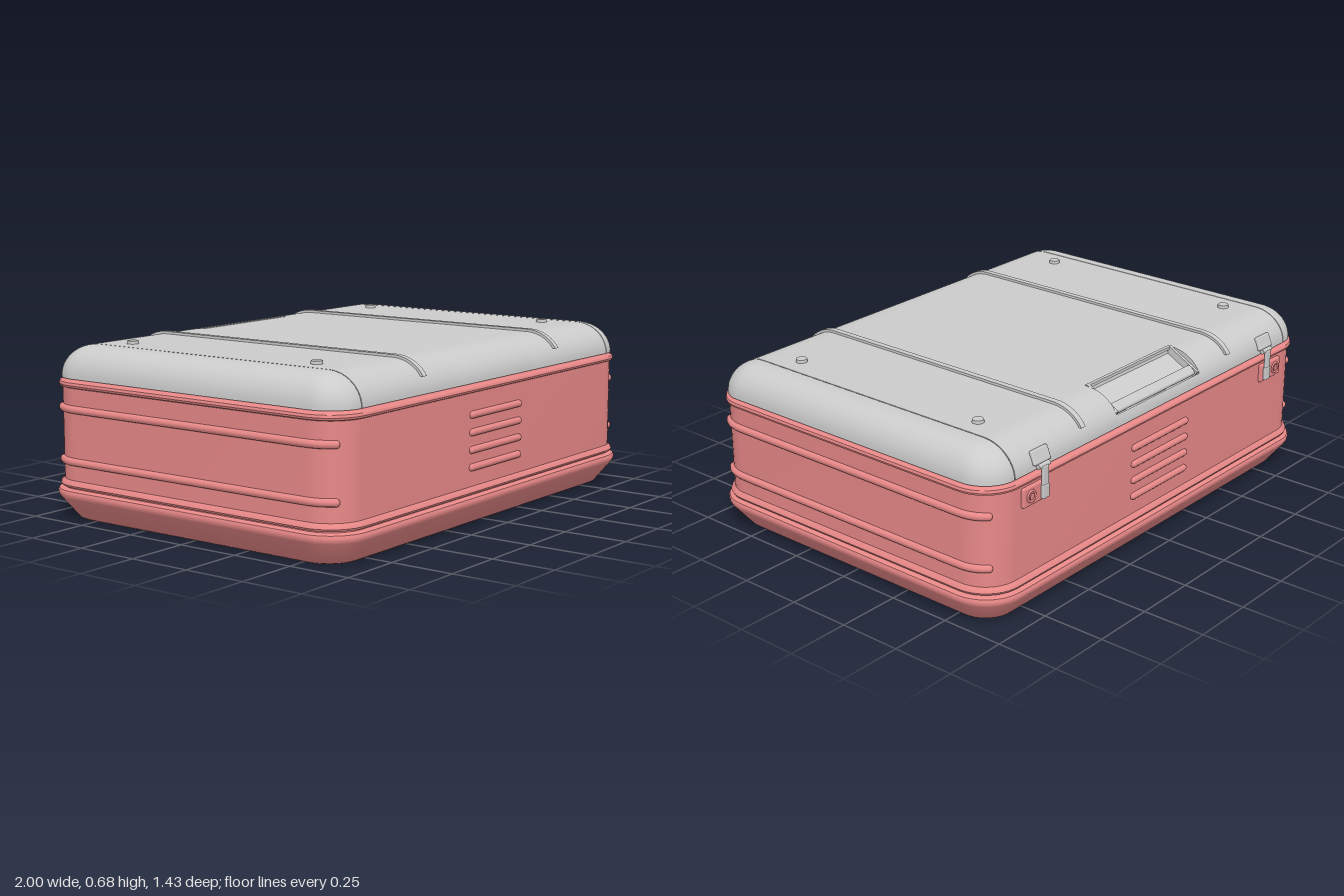
import * as THREE from 'three';
import { toCreasedNormals } from 'three/addons/utils/BufferGeometryUtils.js';
import { RoundedBoxGeometry } from 'three/addons/geometries/RoundedBoxGeometry.js';

const pink = new THREE.MeshStandardMaterial({ color: 0xe88888 });
const grey = new THREE.MeshStandardMaterial({ color: 0xcccccc });
const SEAM = 0.845; // x where the rounded lid ends begin

function add(parent, name, geometry, material, x = 0, y = 0, z = 0) {
  const mesh = new THREE.Mesh(geometry, material);
  mesh.name = name;
  mesh.position.set(x, y, z);
  parent.add(mesh);
  return mesh;
}

// Elliptic corner running from angle a0 to a0 + 90 degrees
function corner(cx, cz, r, a0, y) {
  return Array.from({ length: 11 }, (_, i) => {
    const a = a0 + (i / 10) * Math.PI / 2;
    return [cx + r * Math.cos(a), y, cz + r * Math.sin(a)];
  });
}

function roundedRing(y, hx, hz, r) {
  return [[1, 1], [-1, 1], [-1, -1], [1, -1]].flatMap(([sx, sz], i) =>
    corner(sx * (hx - r), sz * (hz - r), r, i * Math.PI / 2, y));
}

// Skin closed rings from bottom to top, with flat caps
function loft(rings, crease = 0.5) {
  const n = rings[0].length, last = (rings.length - 1) * n;
  const points = rings.flat(), index = [];
  const x = (rings[0][0][0] > 0 && rings[0].every(p => p[0] > 0)) ? SEAM : 0;
  points.push([x, rings[0][0][1], 0], [x, rings.at(-1)[0][1], 0]);
  for (let i = 0; i < n; i++) {
    const j = (i + 1) % n;
    for (let k = 0; k < last; k += n)
      index.push(k + i, k + n + i, k + j, k + j, k + n + i, k + n + j);
    index.push(last + n, i, j, last + n + 1, last + j, last + i);
  }
  const g = new THREE.BufferGeometry();
  g.setAttribute('position', new THREE.Float32BufferAttribute(points.flat(), 3));
  g.setIndex(index);
  return toCreasedNormals(g, crease);
}

// Lid curve: t = 0 at the lower edge, 90 degrees at the flat top
const lidZ = t => 0.69 - 0.14 * (1 - Math.cos(t));
const lidY = t => 0.545 + 0.12 * Math.sin(t);
const HALF = Math.PI / 2;

function lidCurve(t0, offset = 0) {
  return Array.from({ length: 13 }, (_, i) => {
    const t = t0 + (HALF - t0) * i / 12;
    return [lidZ(t) + offset * Math.cos(t), lidY(t) + offset * Math.sin(t)];
  });
}

const mirrored = pts => pts.map(([z, y]) => [-z, y]).reverse();
const lidProfile = (t0, offset) => [...lidCurve(t0, offset), ...mirrored(lidCurve(t0, offset))];

// Extrude a [z, y] outline along x between x0 and x1
function slab(outline, x0, x1) {
  const shape = new THREE.Shape(outline.map(p => new THREE.Vector2(...p)));
  const g = new THREE.ExtrudeGeometry(shape, { depth: x1 - x0, bevelEnabled: false });
  g.translate(0, 0, -(x1 - x0) / 2).rotateY(-HALF).translate((x0 + x1) / 2, 0, 0);
  return toCreasedNormals(g, 0.4);
}

function buildBody(group) {
  // [height, inset from the widest outline]
  const profile = [
    [0, 0.08], [0.006, 0.07], [0.09, 0.006], [0.1, 0.001], [0.112, 0], [0.12, 0.004],
    [0.124, 0.014], [0.126, 0.026], [0.13, 0.026], [0.132, 0.015], [0.14, 0.011],
    [0.148, 0.014], [0.158, 0.026], [0.51, 0.026], [0.514, 0.016], [0.522, 0.013],
    [0.532, 0.016], [0.536, 0.024], [0.546, 0.032],
  ];
  const rings = profile.map(([y, inset]) =>
    roundedRing(y, 1 - inset, 0.715 - inset, Math.max(0.16 - inset, 0.11)));
  add(group, 'caseBody', loft(rings, 0.6), pink);

  // Louvre ridges on the front and back
  for (const side of [-1, 1]) for (let i = 0; i < 4; i++) {
    const ridge = new THREE.CapsuleGeometry(0.014, 0.325, 5, 12).rotateZ(HALF);
    add(group, 'louvreRidge', ridge, pink, 0, 0.23 + i * 0.066, side * 0.689);
  }

  // Side ribs curling around the corners
  for (const side of [-1, 1]) for (const y of [0.23, 0.43]) {
    const half = corner(0.842, 0.556, 0.132, 0, 0).slice(0, 6);
    const path = [...half.map(([x, , z]) => [x, -z]).reverse(), [0.974, 0], ...half.map(([x, , z]) => [x, z])]
      .map(([x, z]) => new THREE.Vector3(side * x, y, z));
    const curve = new THREE.CatmullRomCurve3(path);
    add(group, 'sideRib', new THREE.TubeGeometry(curve, 60, 0.015, 10), pink);
    for (const p of [path[0], path.at(-1)])
      add(group, 'sideRibEnd', new THREE.SphereGeometry(0.015, 10, 8), pink, p.x, p.y, p.z);
  }
}

function buildLid(group) {
  // Straight panels, with a handle recess cut into the middle one
  const plain = lidProfile(0, 0);
  add(group, 'lidPanel', slab(plain, 0.26, SEAM - 0.004), grey);
  add(group, 'lidPanel', slab(plain, -SEAM + 0.004, -0.26), grey);
  const recessed = [
    ...lidCurve(0), [-0.535, 0.665], [-0.541, 0.64], [-0.662, 0.573], [-lidZ(0.38), lidY(0.38)],
    [-lidZ(0.25), lidY(0.25)], [-lidZ(0.12), lidY(0.12)], [-lidZ(0), lidY(0)],
  ];
  add(group, 'lidHandlePanel', slab(recessed, -0.26, 0.26), grey);

  // Rounded ends and the dark seams beside them
  const rings = Array.from({ length: 13 }, (_, i) => {
    const t = HALF * i / 12, hx = 0.975 - 0.11 * (1 - Math.cos(t)), r = hx - SEAM, hz = lidZ(t);
    return [...corner(SEAM, -hz + r, r, -HALF, lidY(t)), ...corner(SEAM, hz - r, r, 0, lidY(t))];
  });
  for (const side of [1, -1]) {
    add(group, 'lidEnd', loft(rings), grey).rotation.y = side > 0 ? 0 : Math.PI;
    add(group, 'lidSeam', slab(lidProfile(0, -0.008), side * SEAM - 0.01, side * SEAM + 0.01), grey);
    add(group, 'lidRib', slab(lidProfile(0.5, 0.01), side * 0.457 - 0.012, side * 0.457 + 0.012), grey);
    for (const z of [0.43, -0.45])
      add(group, 'lidStud', new THREE.CylinderGeometry(0.021, 0.023, 0.02, 24), grey, side * 0.757, 0.667, z);
    // Narrow frame at each end of the recess
    const bar = add(group, 'handleFrameEnd', new THREE.BoxGeometry(0.014, 0.03, 0.15), grey, side * 0.255, 0.62, -0.605);
    bar.rotation.x = -0.5;
  }
  add(group, 'handleFrameTop', new THREE.BoxGeometry(0.52, 0.012, 0.014), grey, 0, 0.662, -0.54);
  const grip = add(group, 'handleGrip', new RoundedBoxGeometry(0.495, 0.026, 0.042, 3, 0.01), grey, 0, 0.6, -0.652);
  grip.rotation.x = -0.75;
}

// Latch on the back face, with its keyed plate reaching outward
function buildLatch(side) {
  const latch = new THREE.Group();
  latch.name = 'latch';
  latch.position.x = side * 0.71;
  add(latch, 'latchPlate', new RoundedBoxGeometry(0.14, 0.075, 0.02, 2, 0.008), pink, side * 0.03, 0.462, -0.692);
  const ring = new THREE.TorusGeometry(0.02, 0.005, 8, 24);
  add(latch, 'lockRing', ring, pink, side * 0.06, 0.462, -0.702);
  const core = new THREE.CylinderGeometry(0.012, 0.012, 0.012, 20).rotateX(HALF);
  add(latch, 'lockCore', core, pink, side * 0.06, 0.462, -0.701);
  const hinge = add(latch, 'latchHinge', new RoundedBoxGeometry(0.09, 0.055, 0.016, 2, 0.007), grey, -side * 0.008, 0.588, -0.683);
  hinge.rotation.x = 0.38;
  const pin = new THREE.CylinderGeometry(0.009, 0.009, 0.06, 12).rotateZ(HALF);
  add(latch, 'latchPin', pin, grey, -side * 0.008, 0.556, -0.7);
  add(latch, 'latchArm', new RoundedBoxGeometry(0.032, 0.1, 0.012, 2, 0.005), grey, -side * 0.008, 0.507, -0.707);
  add(latch, 'latchHook', new RoundedBoxGeometry(0.036, 0.055, 0.016, 2, 0.006), grey, -side * 0.008, 0.46, -0.707);
  return latch;
}

export function createModel() {
  const model = new THREE.Group();
  model.name = 'hardCase';
  buildBody(model);
  const lid = new THREE.Group();
  lid.name = 'lid';
  buildLid(lid);
  model.add(lid, buildLatch(1), buildLatch(-1));
  return model;
}
